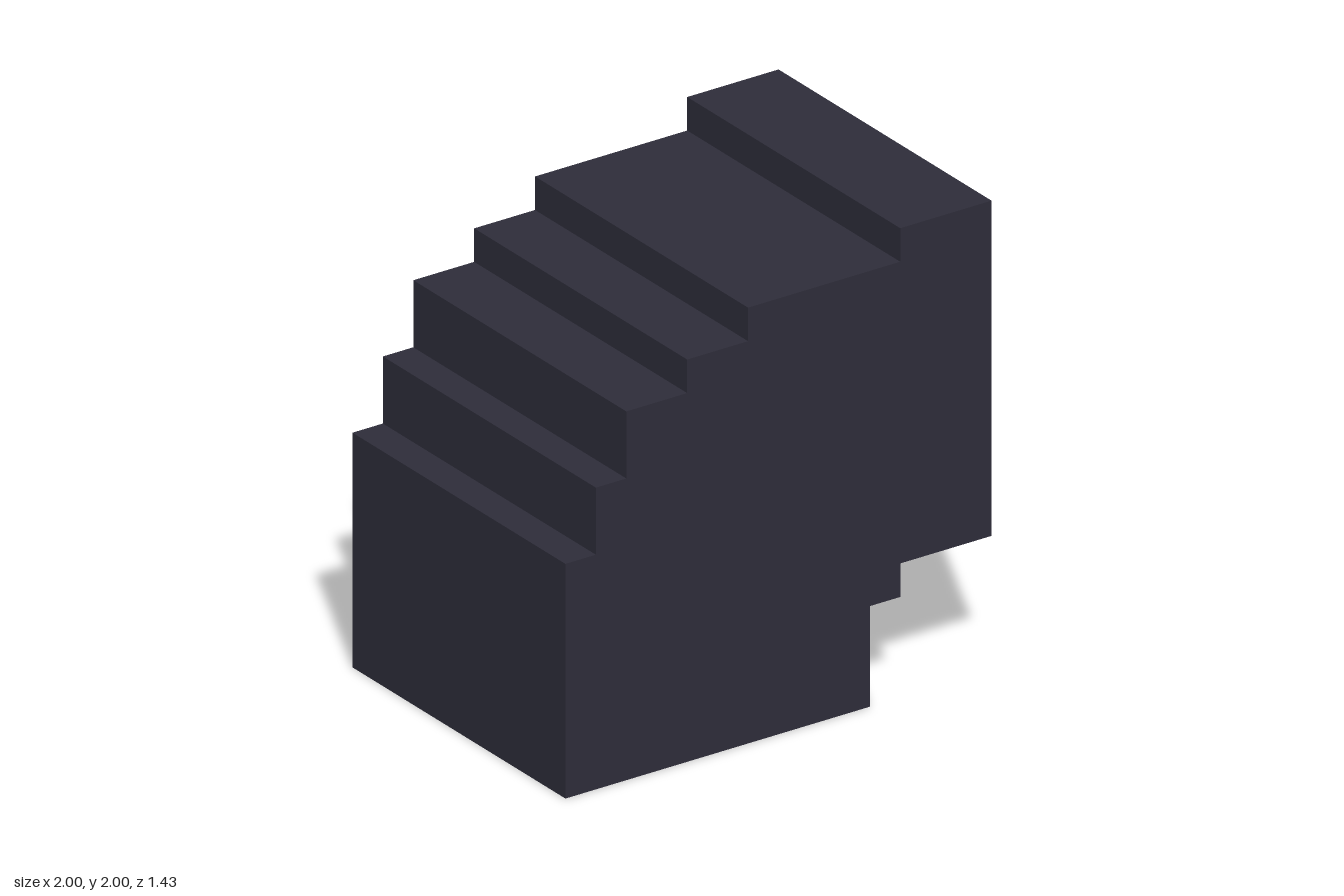
import * as THREE from 'three';

export function createModel() {
  const group = new THREE.Group();
  group.name = 'steppedBlock';
  const charcoal = new THREE.MeshStandardMaterial({ color: 0x2e2d3a });
  charcoal.name = 'charcoal';

  // Stepped side profile on a grid of sevenths, counter-clockwise from the base
  const unit = 1 / 7;
  const profile = [
    [-7, 0], [3, 0], [3, 3], [4, 3], [4, 4], [7, 4],             // base and underside steps
    [7, 14], [4, 14], [4, 13], [-1, 13], [-1, 12], [-3, 12],     // upper steps
    [-3, 11], [-5, 11], [-5, 9], [-6, 9], [-6, 7], [-7, 7],      // lower steps
  ].map(([x, y]) => new THREE.Vector2(x * unit, y * unit));

  // Extrude the profile along z and centre it
  const depth = 10 * unit;
  const geometry = new THREE.ExtrudeGeometry(new THREE.Shape(profile), { depth, bevelEnabled: false });
  geometry.translate(0, 0, -depth / 2);

  const body = new THREE.Mesh(geometry, charcoal);
  body.name = 'steppedBody';
  group.add(body);
  return group;
}
